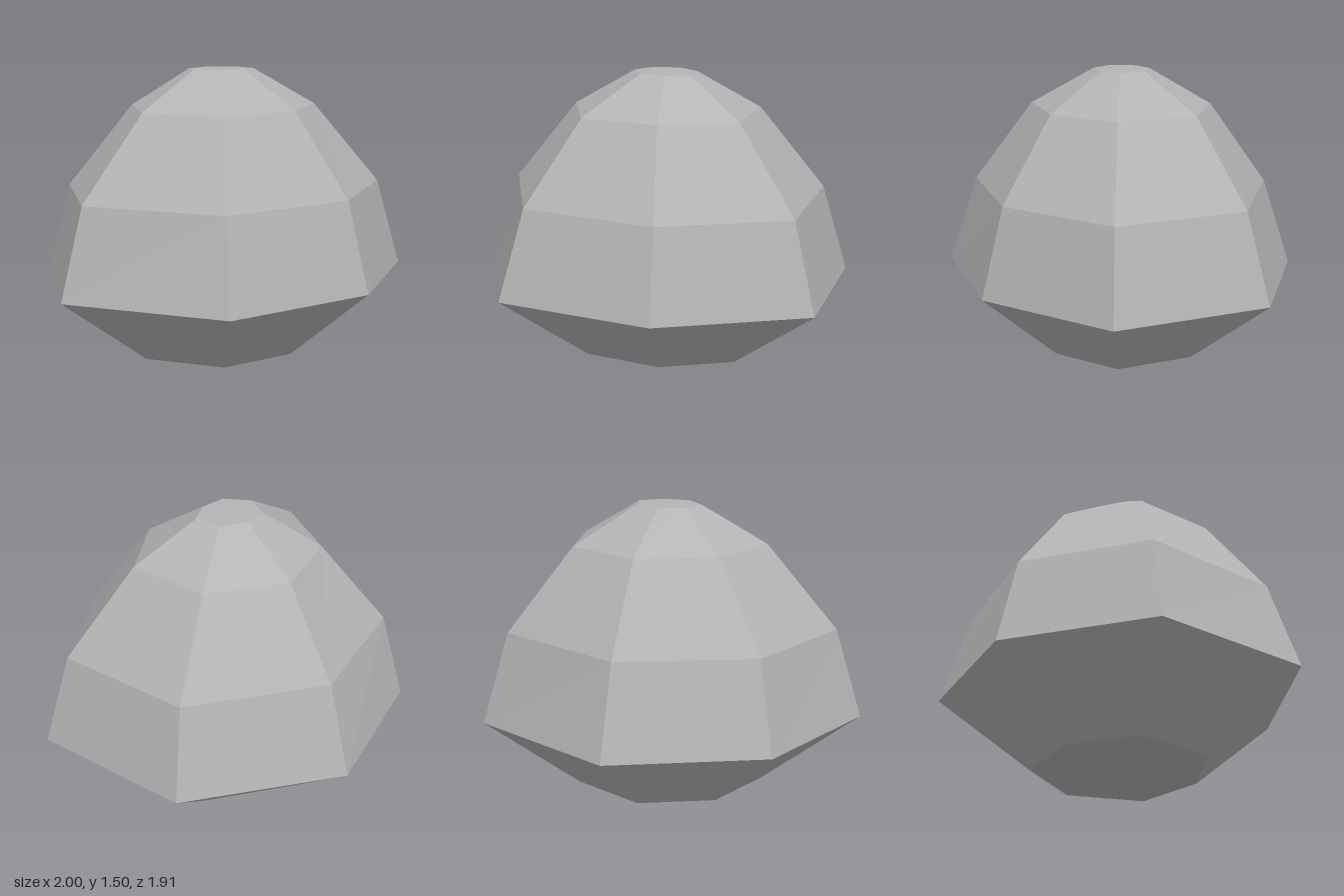
import * as THREE from 'three';

// Horizontal cross-sections, bottom to top: height and seven [x, z] corners
const rings = [
  { y: 0, p: [[0.465, -0.02], [0.235, 0.32], [-0.17, 0.455], [-0.52, 0.19], [-0.48, -0.215], [-0.165, -0.475], [0.265, -0.4]] },
  { y: 0.385, p: [[1, -0.02], [0.53, 0.67], [-0.29, 0.955], [-1, 0.405], [-0.925, -0.42], [-0.28, -0.955], [0.595, -0.79]] },
  { y: 0.86, p: [[0.86, -0.02], [0.455, 0.565], [-0.26, 0.8], [-0.875, 0.34], [-0.815, -0.36], [-0.245, -0.805], [0.515, -0.67]] },
  { y: 1.3, p: [[0.48, -0.02], [0.245, 0.335], [-0.17, 0.475], [-0.53, 0.2], [-0.49, -0.225], [-0.165, -0.5], [0.275, -0.415]] },
  { y: 1.5, p: [[0.13, -0.02], [0.05, 0.085], [-0.09, 0.13], [-0.22, 0.045], [-0.205, -0.09], [-0.09, -0.17], [0.06, -0.145]] },
];

function loft(sections) {
  const n = sections[0].p.length;
  const positions = sections.flatMap(({ y, p }) => p.flatMap(([x, z]) => [x, y, z]));
  const index = [];
  // Side facets
  for (let r = 0; r < sections.length - 1; r++) {
    for (let i = 0; i < n; i++) {
      const j = (i + 1) % n;
      const a = r * n + i, b = r * n + j, c = a + n, d = b + n;
      index.push(a, c, b, b, c, d);
    }
  }
  // Flat base and top
  const top = (sections.length - 1) * n;
  for (let i = 1; i < n - 1; i++) {
    index.push(0, i, i + 1);
    index.push(top, top + i + 1, top + i);
  }
  const indexed = new THREE.BufferGeometry();
  indexed.setAttribute('position', new THREE.Float32BufferAttribute(positions, 3));
  indexed.setIndex(index);
  const geometry = indexed.toNonIndexed();
  geometry.computeVertexNormals();
  return geometry;
}

export function createModel() {
  const group = new THREE.Group();
  group.name = 'rock';
  const stone = new THREE.MeshStandardMaterial({ color: 0xb4b4b4 });
  stone.name = 'stone grey';
  stone.flatShading = true;

  // Faceted boulder
  const boulder = new THREE.Mesh(loft(rings), stone);
  boulder.name = 'boulder';
  group.add(boulder);
  return group;
}
